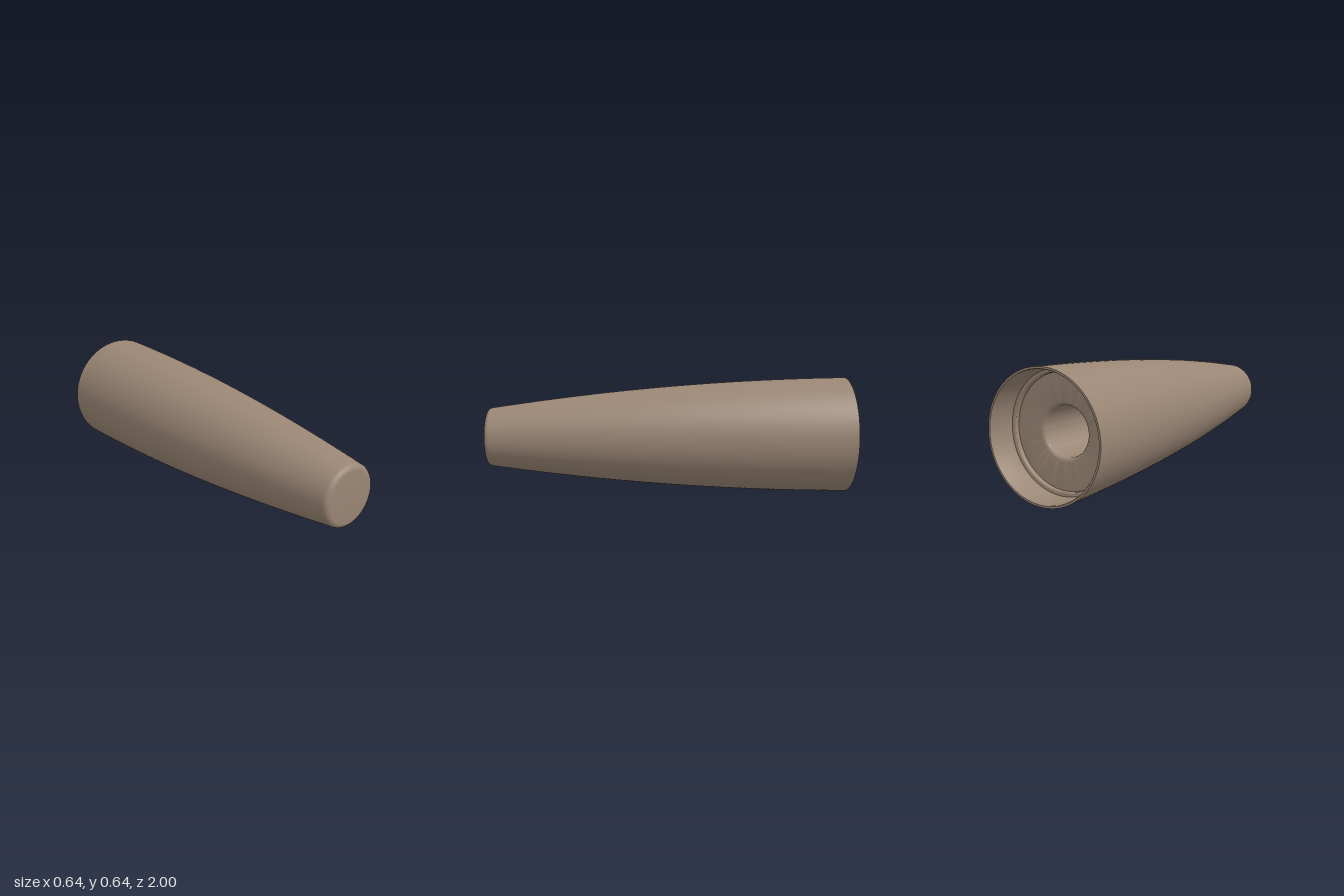
import * as THREE from 'three';
import { toCreasedNormals } from 'three/addons/utils/BufferGeometryUtils.js';

const R = 0.322; // radius of the open back rim

// gently bulging taper from the back (z = -1) to the nose (z = 1)
function outerRadius(z) {
  const t = (z + 1) / 2;
  return R - 0.024 * t - 0.139 * t * t;
}

// quarter-round between two angles, as [radius, z] points
function arc(cr, cz, rad, from, to, steps = 8) {
  return Array.from({ length: steps + 1 }, (_, i) => {
    const a = from + ((to - from) * i) / steps;
    return [cr + rad * Math.cos(a), cz + rad * Math.sin(a)];
  });
}

export function createModel() {
  const group = new THREE.Group();
  group.name = 'taperedHandle';
  const profile = [];

  // blind centre bore with a rounded mouth
  profile.push([0, 0.75], [0.125, 0.75]);
  profile.push(...arc(0.145, -0.81, 0.02, Math.PI, Math.PI * 1.5));

  // recess floor, small rounded ledge and thin socket wall
  profile.push([0.284, -0.83]);
  profile.push(...arc(0.292, -0.846, 0.008, Math.PI, Math.PI * 1.5, 5));
  profile.push([0.305, -0.854], [0.309, -0.995], [0.312, -1], [R, -1]);

  // curved outer wall
  for (let i = 1; i <= 32; i++) {
    const z = -1 + (1.965 * i) / 32;
    profile.push([outerRadius(z), z]);
  }

  // rounded nose edge and flat end
  const f = 0.03;
  profile.push(...arc(outerRadius(0.97) - f, 1 - f, f, 0.1, Math.PI / 2));
  profile.push([0, 1]);

  const points = profile.map(([r, z]) => new THREE.Vector2(r, z));
  const lathe = new THREE.LatheGeometry(points, 96);
  lathe.rotateX(Math.PI / 2);
  const body = new THREE.Mesh(
    toCreasedNormals(lathe, 0.6),
    new THREE.MeshStandardMaterial({ color: 0x9a8674 })
  );
  body.name = 'handleBody';
  body.position.y = R;
  group.add(body);
  return group;
}
